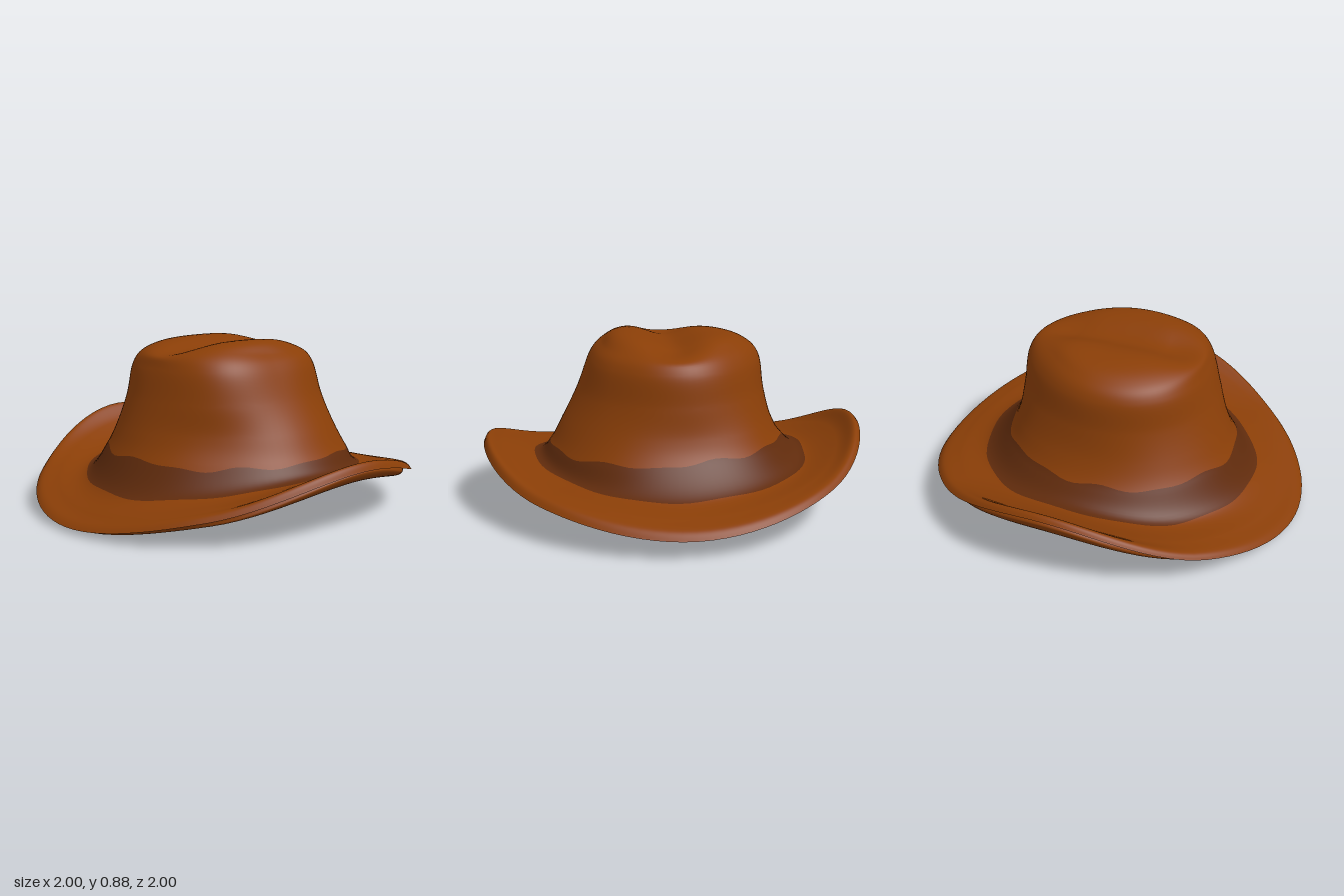
import * as THREE from 'three';

// Control rings from crown centre to brim edge: eight radii and eight heights,
// starting at +x and turning toward +z.
const all = (v) => Array(8).fill(v);
const RINGS = [
  { r: all(0), y: all(0.877) },
  { r: [0.24, 0.26, 0.27, 0.27, 0.24, 0.26, 0.27, 0.27], y: [0.868, 0.872, 0.877, 0.877, 0.868, 0.865, 0.866, 0.872] },
  { r: [0.42, 0.40, 0.37, 0.41, 0.41, 0.41, 0.40, 0.38], y: [0.822, 0.815, 0.81, 0.83, 0.822, 0.82, 0.82, 0.825] },
  { r: [0.50, 0.47, 0.43, 0.49, 0.465, 0.48, 0.465, 0.45], y: all(0.74) },
  { r: [0.522, 0.52, 0.50, 0.525, 0.52, 0.51, 0.487, 0.495], y: all(0.58) },
  { r: [0.545, 0.585, 0.58, 0.545, 0.575, 0.56, 0.525, 0.55], y: all(0.43) },
  { r: [0.605, 0.65, 0.645, 0.595, 0.63, 0.62, 0.595, 0.615], y: all(0.31) },
  { r: [0.73, 0.72, 0.72, 0.70, 0.73, 0.72, 0.70, 0.72], y: [0.19, 0.21, 0.24, 0.18, 0.15, 0.18, 0.24, 0.21] },
  { r: all(0.88), y: [0.15, 0.215, 0.295, 0.16, 0.072, 0.17, 0.32, 0.225] },
  { r: [0.965, 0.965, 0.965, 0.945, 0.965, 0.965, 0.965, 0.965], y: [0.127, 0.215, 0.348, 0.155, 0.042, 0.165, 0.403, 0.235] },
  { r: [1, 1, 0.995, 0.972, 1, 0.995, 1, 1], y: [0.09, 0.18, 0.31, 0.125, 0.018, 0.14, 0.385, 0.21] },
];
const EDGE = RINGS.length - 1;

const catmull = (a, b, c, d, t) =>
  0.5 * (2 * b + (c - a) * t + (2 * a - 5 * b + 4 * c - d) * t * t + (3 * b - a - 3 * c + d) * t * t * t);

// Value of one ring at any angle
function around(list, angle) {
  const u = ((angle / (Math.PI * 2)) * 8 + 16) % 8;
  const i = Math.floor(u);
  const at = (k) => list[(k + 8) % 8];
  return catmull(at(i - 1), at(i), at(i + 1), at(i + 2), u - i);
}

// Outer felt surface
function outer(t, angle) {
  const i = Math.min(Math.floor(t), EDGE - 1);
  const value = (key, k) => {
    if (k < 0) return around(RINGS[1][key], angle + Math.PI) * (key === 'r' ? -1 : 1);
    return around(RINGS[Math.min(k, EDGE)][key], angle);
  };
  const sample = (key) =>
    catmull(value(key, i - 1), value(key, i), value(key, i + 1), value(key, i + 2), t - i);
  const r = sample('r');
  const x = r * Math.cos(angle), z = r * Math.sin(angle);
  // Soft crease across the top of the crown, deepest in the middle
  const fade = 1 - THREE.MathUtils.smoothstep(t, 1, 2.6);
  const dent = 0.055 * fade * Math.exp(-(((z - 0.02) / 0.13) ** 2));
  return new THREE.Vector3(x, sample('y') - dent, z);
}

function normalOf(surface, t, angle) {
  const e = 0.004;
  const dt = surface(Math.min(t + e, EDGE), angle).sub(surface(Math.max(t - e, 0.0005), angle));
  const da = surface(t, angle + e).sub(surface(t, angle - e));
  return da.cross(dt).normalize();
}

// Inner surface: pushed in by the felt thickness, fuller under the lip, closing at the edge
function inner(t, angle) {
  const lip = 0.02 * Math.exp(-(((t - 8.3) / 0.5) ** 2));
  const depth = (0.045 + lip) * Math.min(1, (EDGE - t) / 1.2);
  return outer(t, angle).addScaledVector(normalOf(outer, t, angle), -depth);
}

// Strip of surface between two borders, each a function of the angle
function strip(surface, from, to, rows, inward) {
  const cols = 96;
  const position = [], normal = [], index = [];
  for (let j = 0; j <= rows; j++) {
    for (let i = 0; i <= cols; i++) {
      const angle = (i / cols) * Math.PI * 2;
      const t = THREE.MathUtils.lerp(from(angle), to(angle), j / rows);
      const n = normalOf(surface, t, angle);
      if (inward) n.negate();
      position.push(...surface(t, angle).toArray());
      normal.push(...n.toArray());
      if (i < cols && j < rows) {
        const a = j * (cols + 1) + i, b = a + 1, c = a + cols + 1, d = c + 1;
        if (inward) index.push(a, c, b, b, c, d);
        else index.push(a, b, c, b, d, c);
      }
    }
  }
  const g = new THREE.BufferGeometry();
  g.setAttribute('position', new THREE.Float32BufferAttribute(position, 3));
  g.setAttribute('normal', new THREE.Float32BufferAttribute(normal, 3));
  g.setIndex(index);
  return g;
}

export function createModel() {
  const felt = new THREE.MeshStandardMaterial({ color: 0x8a3e07 });
  felt.name = 'saddle brown felt';
  const dark = new THREE.MeshStandardMaterial({ color: 0x602b0c });
  dark.name = 'dark brown band';

  // Uneven borders of the band, higher at the back
  const bandTop = (a) =>
    5.95 + 0.14 * Math.sin(a) - 0.1 * Math.cos(a) +
    0.06 * Math.sin(3 * a + 1) + 0.06 * Math.sin(8 * a) + 0.05 * Math.sin(13 * a + 2);
  const bandBottom = (a) => 7.08 + 0.04 * Math.sin(5 * a) + 0.03 * Math.sin(11 * a + 1);
  const centre = () => 0.001;
  const edge = () => EDGE;

  const hat = new THREE.Group();
  hat.name = 'hat';
  const add = (name, geometry, material) => {
    const mesh = new THREE.Mesh(geometry, material);
    mesh.name = name;
    hat.add(mesh);
  };
  add('crown', strip(outer, centre, bandTop, 48), felt);
  add('band', strip(outer, bandTop, bandBottom, 10), dark);
  add('brimTop', strip(outer, bandBottom, edge, 28), felt);
  add('crownLining', strip(inner, centre, bandTop, 48, true), felt);
  add('innerBand', strip(inner, bandTop, bandBottom, 10, true), dark);
  add('brimUnderside', strip(inner, bandBottom, edge, 28, true), felt);

  // Rest the lowest point on the ground
  const low = new THREE.Box3().setFromObject(hat).min.y;
  hat.children.forEach((m) => m.geometry.translate(0, -low, 0));
  return hat;
}
